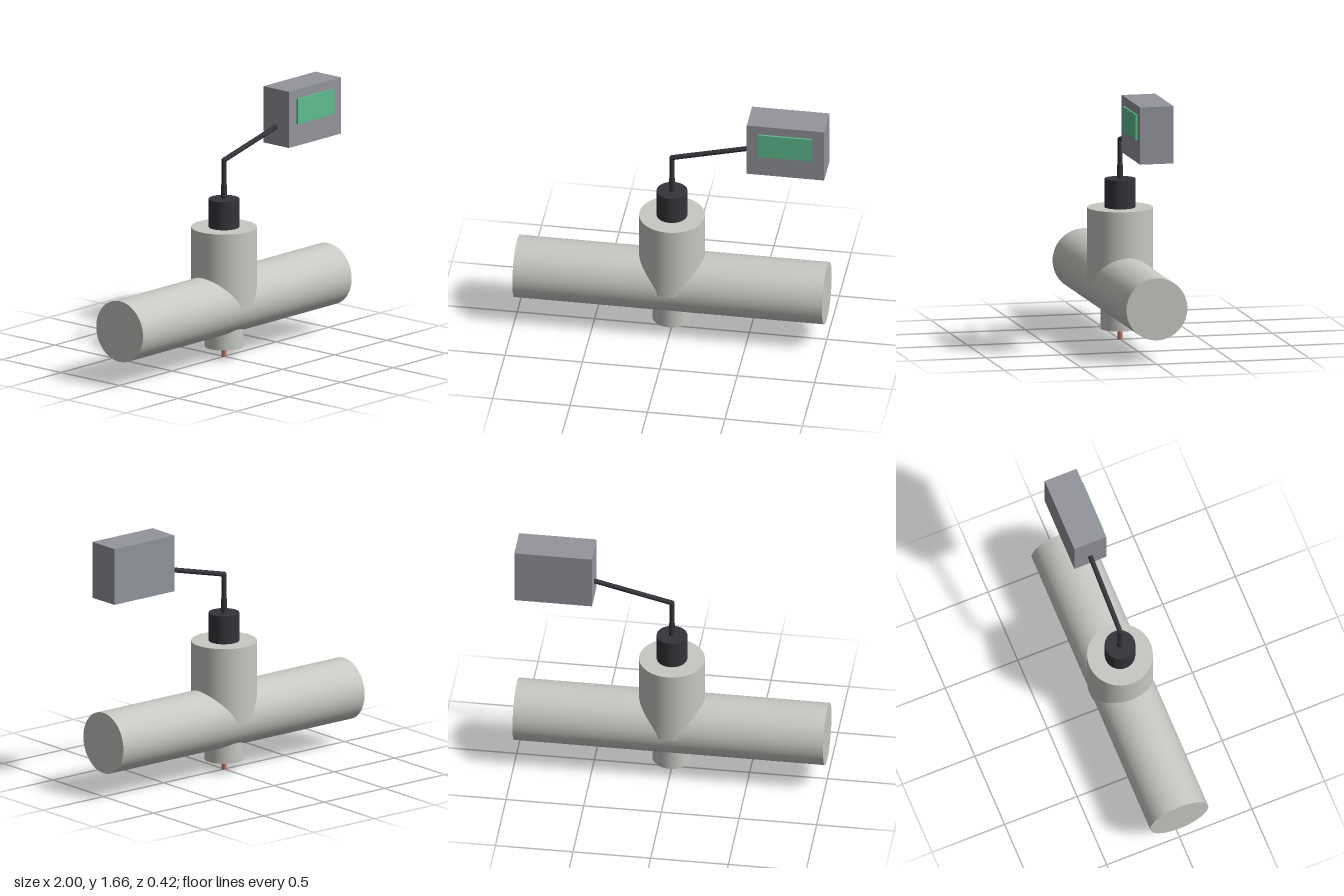
import * as THREE from 'three';

export function createModel() {
  const group = new THREE.Group();
  const material = (name, color) => {
    const m = new THREE.MeshStandardMaterial({ color });
    m.name = name;
    return m;
  };
  const steel = material('pale steel', 0xc8c8c4);
  const dark = material('dark plastic', 0x35343a);
  const grey = material('housing grey', 0x93959d);
  const green = material('display green', 0x5fbf8f);
  const copper = material('copper', 0xb87360);

  const add = (name, geometry, mat) => {
    const mesh = new THREE.Mesh(geometry, mat);
    mesh.name = name;
    group.add(mesh);
    return mesh;
  };

  // A round bar between two points
  const bar = (name, from, to, radius, mat, sides = 48) => {
    const a = new THREE.Vector3(...from);
    const b = new THREE.Vector3(...to);
    const mesh = add(name, new THREE.CylinderGeometry(radius, radius, a.distanceTo(b), sides), mat);
    mesh.position.copy(a).add(b).multiplyScalar(0.5);
    mesh.quaternion.setFromUnitVectors(new THREE.Vector3(0, 1, 0), b.sub(a).normalize());
    return mesh;
  };

  // Pipe with the sensor neck above and the boss below
  bar('pipe', [-1, 0.355, 0], [1, 0.355, 0], 0.2, steel, 64);
  bar('neck', [0, 0.355, 0], [0, 0.855, 0], 0.21, steel, 64);
  bar('lowerBoss', [0, 0.07, 0], [0, 0.25, 0], 0.125, steel);
  bar('probePin', [0, 0, 0], [0, 0.1, 0], 0.015, copper, 24);

  // Connector and cable
  bar('connector', [0, 0.855, 0], [0, 1.04, 0], 0.098, dark);
  bar('cableSleeve', [0, 1.04, 0], [0, 1.13, 0], 0.019, dark, 24);
  bar('cableRiser', [0, 1.13, 0], [0, 1.295, 0], 0.015, dark, 24);
  const elbow = add('cableElbow', new THREE.SphereGeometry(0.016, 24, 16), dark);
  elbow.position.set(0, 1.293, 0);
  bar('cableArm', [0, 1.293, 0], [0.51, 1.42, 0], 0.016, dark, 24);

  // Display unit
  const housing = add('displayHousing', new THREE.BoxGeometry(0.5, 0.37, 0.22), grey);
  housing.position.set(0.75, 1.48, 0);
  const screen = add('displayScreen', new THREE.BoxGeometry(0.35, 0.165, 0.012), green);
  screen.position.set(0.748, 1.523, 0.115);

  return group;
}
